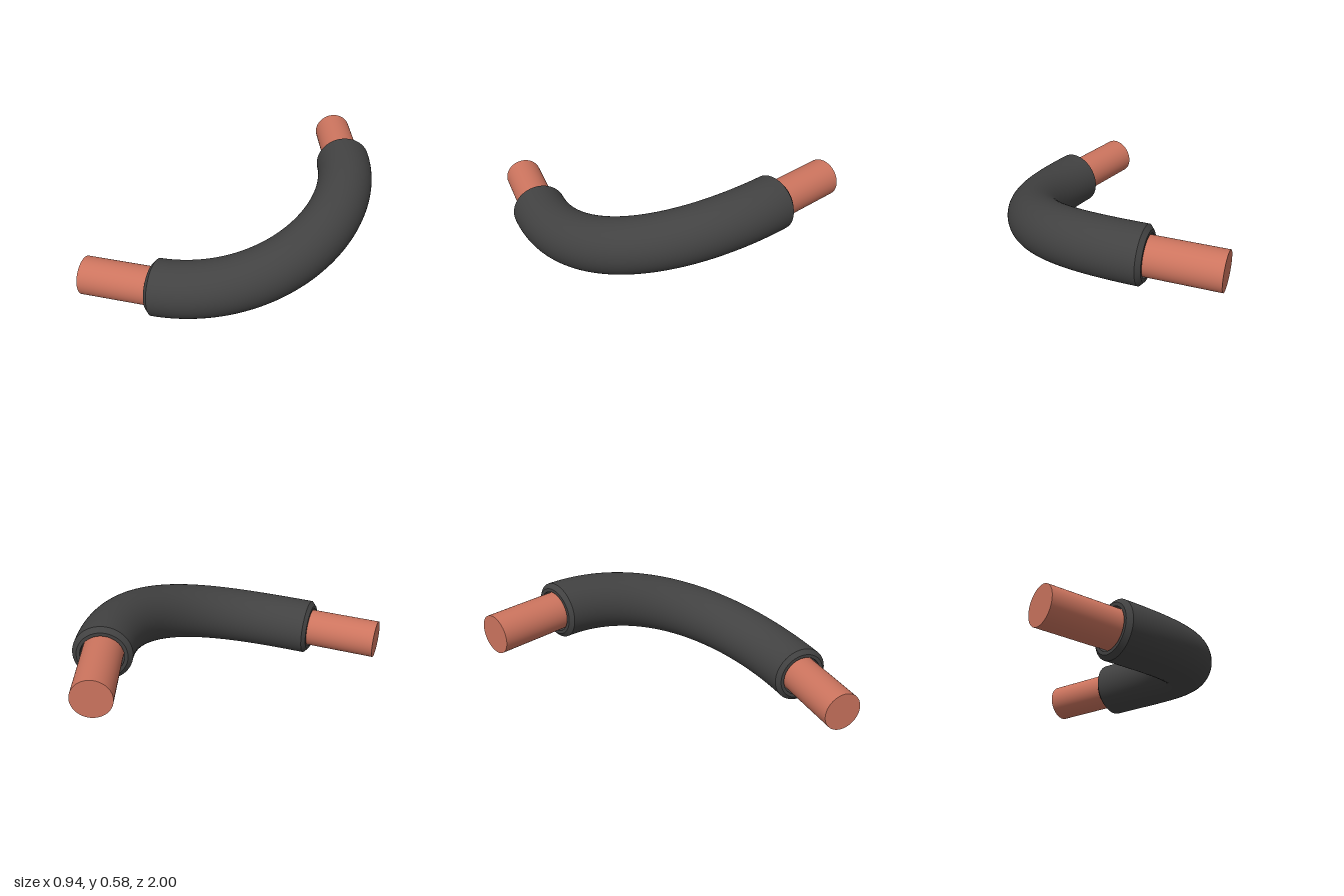
import * as THREE from 'three';
import { mergeGeometries } from 'three/addons/utils/BufferGeometryUtils.js';

const SIDES = 64;
const STEPS = 64;
const LOW = 0.155, HIGH = 0.425; // heights of the two ends
const CORE_R = 0.105, SLEEVE_R = 0.155, RIM_R = 0.131, BORE_R = 0.113;
const CHAMFER = 0.011; // as a fraction of the bend

// Centre line of the bend; both ends leave it horizontally
const bend = new THREE.CubicBezierCurve3(
  new THREE.Vector3(-0.093, LOW, 0.69),
  new THREE.Vector3(0.451, LOW, 0.31),
  new THREE.Vector3(0.451, HIGH, -0.31),
  new THREE.Vector3(-0.093, HIGH, -0.69)
);
const coreStart = new THREE.Vector3(-0.41, LOW, 0.912);
const coreEnd = new THREE.Vector3(-0.41, HIGH, -0.912);

// A round cross-section on the bend at t, or at a given point beyond its ends
const ring = (t, r, point = bend.getPoint(t)) => ({ point, tangent: bend.getTangent(t), r });

// Rings evenly spaced along the bend
function rings(t0, t1, r) {
  return Array.from({ length: STEPS + 1 }, (_, i) => ring(t0 + (t1 - t0) * i / STEPS, r));
}

// Smooth skin over a row of rings
function strip(row) {
  const pos = [], index = [];
  row.forEach(({ point, tangent, r }, i) => {
    const side = new THREE.Vector3().crossVectors(tangent, new THREE.Vector3(0, 1, 0)).normalize();
    const up = new THREE.Vector3().crossVectors(side, tangent);
    for (let j = 0; j < SIDES; j++) {
      const a = j / SIDES * Math.PI * 2;
      const p = point.clone().addScaledVector(side, r * Math.cos(a)).addScaledVector(up, r * Math.sin(a));
      pos.push(p.x, p.y, p.z);
      if (i === row.length - 1) continue;
      const k = (j + 1) % SIDES;
      const a0 = i * SIDES + j, b0 = i * SIDES + k;
      index.push(a0, a0 + SIDES, b0, b0, a0 + SIDES, b0 + SIDES);
    }
  });
  const g = new THREE.BufferGeometry();
  g.setAttribute('position', new THREE.Float32BufferAttribute(pos, 3));
  g.setIndex(index);
  g.computeVertexNormals();
  return g;
}

// Separate strips keep the edges between them sharp
function part(name, color, rows) {
  const mesh = new THREE.Mesh(mergeGeometries(rows.map(strip)), new THREE.MeshStandardMaterial({ color }));
  mesh.name = name;
  return mesh;
}

export function createModel() {
  const group = new THREE.Group();
  group.name = 'insulatedPipe';

  // Copper pipe running right through, with flat end caps
  group.add(part('copperPipe', 0xcc745e, [
    [ring(0, 0, coreStart), ring(0, CORE_R, coreStart)],
    [ring(0, CORE_R, coreStart), ...rings(0, 1, CORE_R), ring(1, CORE_R, coreEnd)],
    [ring(1, CORE_R, coreEnd), ring(1, 0, coreEnd)],
  ]));

  // Dark sleeve: end faces, chamfers, outside and bore
  group.add(part('insulationSleeve', 0x424242, [
    [ring(0, BORE_R), ring(0, RIM_R)],
    [ring(0, RIM_R), ring(CHAMFER, SLEEVE_R)],
    rings(CHAMFER, 1 - CHAMFER, SLEEVE_R),
    [ring(1 - CHAMFER, SLEEVE_R), ring(1, RIM_R)],
    [ring(1, RIM_R), ring(1, BORE_R)],
    rings(1, 0, BORE_R),
  ]));

  return group;
}
